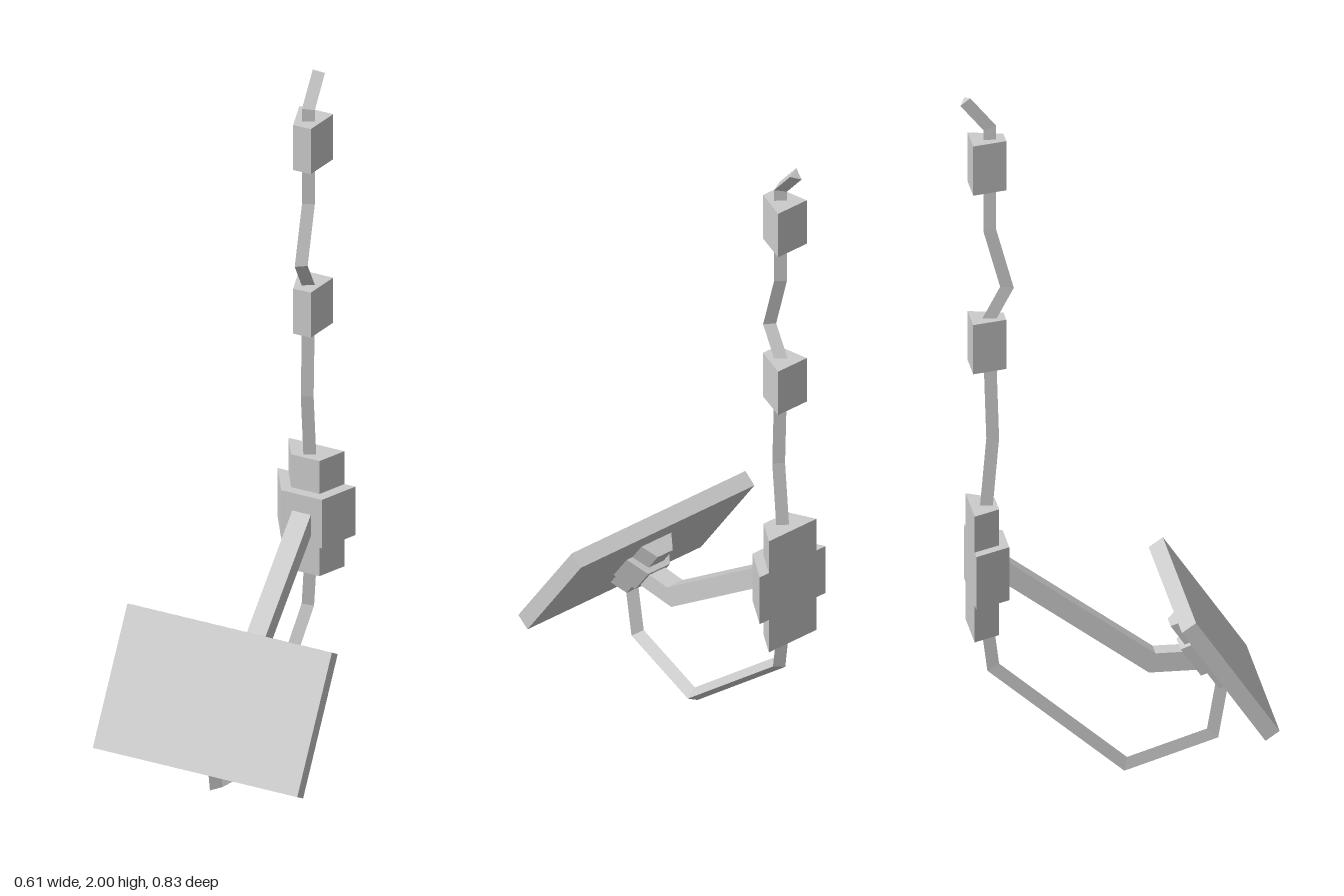
import * as THREE from 'three';

const material = new THREE.MeshStandardMaterial({ color: 0xcccccc, flatShading: true });

// Sweeps a cross-section [x, n] along a mitred path of [z, y] points lying in the x = 0 plane.
function sweep(path, section) {
  const dir = (a, b) => new THREE.Vector2(b[0] - a[0], b[1] - a[1]).normalize();
  const rings = path.map((p, i) => {
    const before = i > 0 ? dir(path[i - 1], p) : dir(p, path[1]);
    const after = i < path.length - 1 ? dir(p, path[i + 1]) : before;
    const t = before.clone().add(after).normalize();
    const mitre = 1 / t.dot(after);
    return section.map(([x, n]) => [x, p[1] - t.x * n * mitre, p[0] + t.y * n * mitre]);
  });
  const count = section.length;
  const positions = [];
  const triangle = (a, b, c) => positions.push(...a, ...b, ...c);
  for (let i = 0; i < rings.length - 1; i++) {
    for (let j = 0; j < count; j++) {
      const k = (j + 1) % count;
      triangle(rings[i][j], rings[i + 1][j], rings[i + 1][k]);
      triangle(rings[i][j], rings[i + 1][k], rings[i][k]);
    }
  }
  const first = rings[0], last = rings[rings.length - 1];
  for (let j = 1; j < count - 1; j++) {
    triangle(first[0], first[j], first[j + 1]);
    triangle(last[0], last[j + 1], last[j]);
  }
  const geometry = new THREE.BufferGeometry();
  geometry.setAttribute('position', new THREE.Float32BufferAttribute(positions, 3));
  geometry.computeVertexNormals();
  return geometry;
}

function addMesh(parent, name, geometry) {
  const mesh = new THREE.Mesh(geometry, material);
  mesh.name = name;
  parent.add(mesh);
  return mesh;
}

// Block with a wide back at z = 0 that narrows towards its front
function taperedBlock(y0, y1, back, front, depth) {
  return sweep([[0, y0], [0, y1]], [[-back, 0], [back, 0], [front, depth], [-front, depth]]);
}

// Three stacked tapered blocks, the middle one larger
function createMount(name) {
  const mount = new THREE.Group();
  mount.name = name;
  addMesh(mount, 'mountMiddle', taperedBlock(-0.076, 0.079, 0.115, 0.06, 0.098));
  addMesh(mount, 'mountUpper', taperedBlock(0.079, 0.184, 0.083, 0.042, 0.073));
  addMesh(mount, 'mountLower', taperedBlock(-0.184, -0.076, 0.083, 0.042, 0.073));
  return mount;
}

export function createModel() {
  const model = new THREE.Group();
  model.name = 'mountedPanel';
  const tilt = 0.605;

  // Tilted flat panel
  const panel = addMesh(model, 'panel', new THREE.BoxGeometry(0.605, 0.401, 0.047));
  panel.position.set(0, 0.371, 0.28);
  panel.rotation.x = -tilt;

  // Wall mount and its smaller copy on the back of the panel
  const wallMount = createMount('wallMount');
  wallMount.position.set(0, 0.621, -0.386);
  const panelBracket = createMount('panelBracket');
  panelBracket.scale.setScalar(0.63);
  panelBracket.position.set(0, 0.358, 0.261);
  panelBracket.rotation.x = Math.PI - tilt;
  model.add(wallMount, panelBracket);

  // Bent square arm
  const r = 0.0275;
  addMesh(model, 'supportArm', sweep(
    [[-0.33, 0.64], [0.107, 0.323], [0.235, 0.323]],
    [[-r, -r], [r, -r], [r, r], [-r, r]]));

  // Cable clips
  for (const y of [1.28, 1.803]) {
    const clip = addMesh(model, 'cableClip', taperedBlock(-0.072, 0.072, 0.05, 0.026, 0.094));
    clip.position.set(0, y, -0.385);
  }

  // Three-sided cables
  const cableSection = [0, 1, 2].map((i) => {
    const angle = i * Math.PI * 2 / 3 + 0.08;
    return [0.02 * Math.cos(angle), 0.02 * Math.sin(angle)];
  });
  addMesh(model, 'upperCable', sweep([
    [-0.345, 0.77], [-0.325, 1.0], [-0.332, 1.22], [-0.34, 1.34], [-0.286, 1.44],
    [-0.333, 1.61], [-0.333, 1.91], [-0.4, 1.99],
  ], cableSection));
  addMesh(model, 'lowerCable', sweep([
    [-0.342, 0.46], [-0.325, 0.33], [0.037, 0.024], [0.275, 0.1], [0.303, 0.26],
  ], cableSection));

  return model;
}
